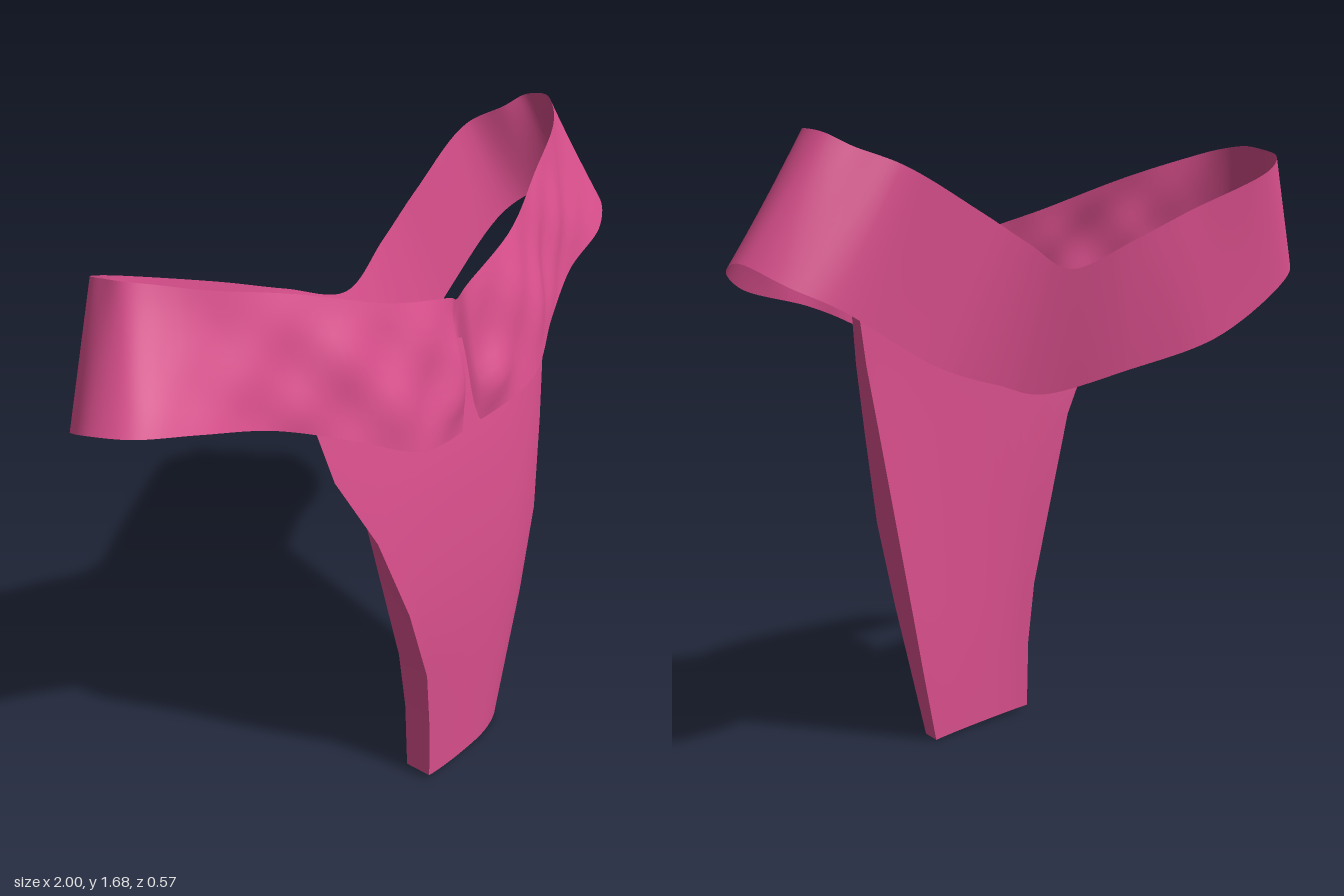
import * as THREE from 'three';
import { toCreasedNormals } from 'three/addons/utils/BufferGeometryUtils.js';

const V = (x, y, z) => new THREE.Vector3(x, y, z);
const bump = (x, width) => Math.exp(-((x / width) ** 2));

// Skin equal-length closed loops of points; optional caps for flat front/back loops.
function loft(loops, capped) {
  const n = loops[0].length, pos = [], idx = [];
  loops.forEach(l => l.forEach(p => pos.push(p.x, p.y, p.z)));
  for (let r = 0; r < loops.length - 1; r++) {
    for (let i = 0; i < n; i++) {
      const a = r * n + i, b = r * n + (i + 1) % n;
      idx.push(a, b, b + n, a, b + n, a + n);
    }
  }
  if (capped) {
    const last = (loops.length - 1) * n;
    for (let i = 0; i < n / 2 - 1; i++) {
      const a = i, b = i + 1, c = n - 2 - i, d = n - 1 - i;
      idx.push(a, c, b, a, d, c);
      idx.push(last + a, last + b, last + c, last + a, last + c, last + d);
    }
  }
  const g = new THREE.BufferGeometry();
  g.setAttribute('position', new THREE.Float32BufferAttribute(pos, 3));
  g.setIndex(idx);
  g.computeVertexNormals();
  return g;
}

// Close a half outline (front centre to back centre) with its mirror image;
// leftHalf runs on +x, and overrides replace single points of the -x side.
function closedCurve(leftHalf, overrides) {
  const pts = leftHalf.map(p => V(...p));
  for (let i = leftHalf.length - 2; i > 0; i--) {
    const [x, y, z] = overrides[i] || leftHalf[i];
    pts.push(V(-x, y, z));
  }
  return new THREE.CatmullRomCurve3(pts, true, 'centripetal');
}

function waistbandGeometry() {
  const top = closedCurve([
    [0, 1.42, 0.195], [0.03, 1.445, 0.20], [0.25, 1.515, 0.18], [0.5, 1.585, 0.09],
    [0.7, 1.645, 0.015], [0.78, 1.67, -0.04], [0.83, 1.68, -0.1], [0.82, 1.67, -0.16],
    [0.77, 1.64, -0.2], [0.68, 1.60, -0.265], [0.4, 1.49, -0.235], [0.2, 1.41, -0.2],
    [0, 1.34, -0.165]],
  { 1: [0.03, 1.435, 0.2], 2: [0.25, 1.495, 0.18], 7: [0.83, 1.67, -0.16],
    8: [0.81, 1.65, -0.23], 9: [0.7, 1.6, -0.28] });
  const bottom = closedCurve([
    [0, 1.07, 0.24], [0.03, 1.075, 0.25], [0.25, 1.12, 0.275], [0.45, 1.20, 0.20],
    [0.65, 1.26, 0.13], [0.87, 1.31, 0.09], [0.96, 1.355, 0.03], [1.0, 1.38, -0.08],
    [0.95, 1.33, -0.19], [0.85, 1.28, -0.24], [0.55, 1.13, -0.225], [0.25, 1.05, -0.14],
    [0, 1.0, -0.07]],
  { 3: [0.43, 1.21, 0.21], 4: [0.62, 1.295, 0.13], 5: [0.82, 1.36, 0.09], 6: [0.96, 1.39, 0.03] });
  const loops = [], segs = 208, rows = 12;
  for (let r = 0; r <= rows; r++) {
    const v = r / rows, belly = Math.sin(Math.PI * v), loop = [];
    for (let i = 0; i < segs; i++) {
      const t = i / segs;
      const p = bottom.getPoint(t).lerp(top.getPoint(t), v);
      const front = THREE.MathUtils.smoothstep(p.z, 0, 0.15);
      // Soft diagonal wrinkles, a pinch at the front centre, bunched cloth beside it
      const wrinkle = Math.sin(p.x * 19 + v * 5) * 0.6 + Math.sin(p.x * 31 - v * 7) * 0.4;
      const bunch = bump(Math.abs(p.x) - 0.1, 0.07) * bump(v - 0.2, 0.18);
      p.z += front * belly * (0.012 + 0.014 * wrinkle + 0.025 * bunch - 0.03 * bump(p.x, 0.025));
      loop.push(p);
    }
    loops.push(loop);
  }
  return loft(loops, false);
}

function panelGeometry() {
  // y, -x edge, +x edge, front z at -x / centre / +x, back z at edges / centre, back inset at -x
  const sections = [
    [0.01, -0.19, 0.18, 0.27, 0.28, 0.25, 0.19, 0.195, 0],
    [0.22, -0.20, 0.24, 0.275, 0.285, 0.25, 0.175, 0.19, 0.02],
    [0.4, -0.22, 0.29, 0.28, 0.29, 0.25, 0.16, 0.19, 0.03],
    [0.65, -0.30, 0.36, 0.28, 0.29, 0.24, 0.14, 0.19, 0.06],
    [0.9, -0.38, 0.43, 0.24, 0.272, 0.20, 0.12, 0.19, 0.09],
    [1.1, -0.47, 0.49, 0.18, 0.25, 0.16, 0.10, 0.19, 0.1],
    [1.31, -0.50, 0.54, 0.12, 0.205, 0.12, 0.08, 0.185, 0.06]];
  const n = 16, lerp = THREE.MathUtils.lerp;
  const loops = sections.map(([y, xl, xr, zl, zf, zr, ze, zb, inset], s) => {
    const front = [], back = [];
    for (let i = 0; i <= n; i++) {
      const u = i / n * 2 - 1, bow = 1 - Math.abs(u) ** 2.6;
      const h = s === 0 ? y - 0.008 * u : y;
      front.push(V(lerp(xl, xr - 0.015, i / n), h, lerp(u < 0 ? zl : zr, zf, bow)));
      back.push(V(lerp(xl + inset, xr, i / n), h, lerp(ze, zb, bow)));
    }
    return [...front, ...back.reverse()];
  });
  return toCreasedNormals(loft(loops, true), 0.7);
}

export function createModel() {
  const model = new THREE.Group();
  model.name = 'loincloth';
  const pink = new THREE.MeshStandardMaterial({ color: 0xd94f8c, side: THREE.DoubleSide });
  pink.name = 'pinkCloth';
  const add = (name, geometry) => {
    const mesh = new THREE.Mesh(geometry, pink);
    mesh.name = name;
    model.add(mesh);
  };
  add('waistband', waistbandGeometry());
  add('frontPanel', panelGeometry());
  return model;
}
